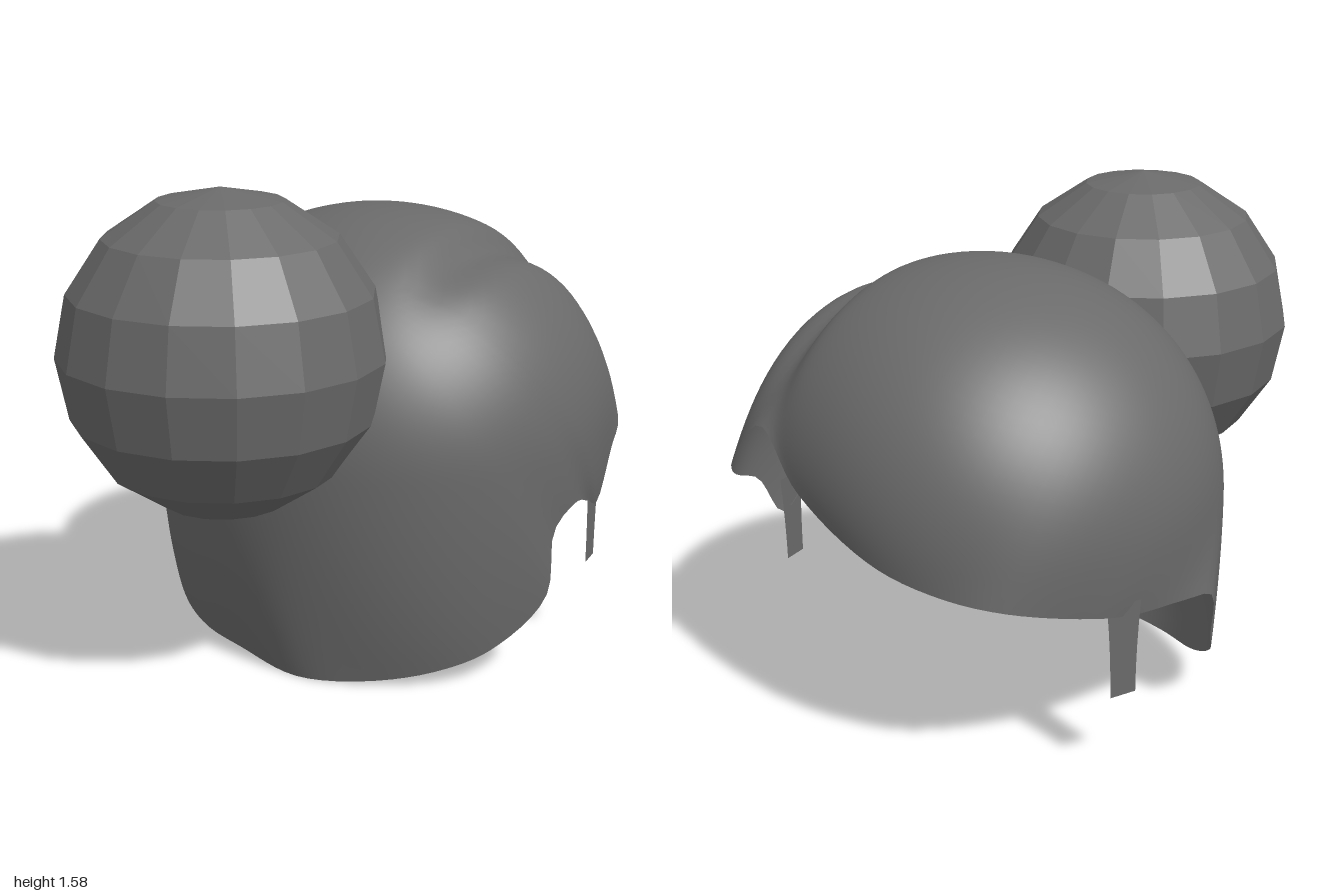
import * as THREE from 'three';

const gray = new THREE.MeshStandardMaterial({ color: 0x6a6a6a, side: THREE.DoubleSide });
gray.name = 'gray';
const V = (x, y, z) => new THREE.Vector3(x, y, z);

const CENTER = V(0, 0.7, -0.27);
const POLE = V(0, 0.8, 0.6).normalize();

// Free edge of the shell, counterclockwise from the front
const RIM = [
  [0, 0.01, 0.35], [0.28, 0, 0.34], [0.48, 0.015, 0.21], [0.63, 0.055, 0.05], [0.71, 0.11, -0.1],
  [0.76, 0.25, -0.29], [0.76, 0.47, -0.32], [0.75, 0.535, -0.43], [0.7, 0.5, -0.55],
  [0.66, 0.46, -0.65], [0.63, 0.62, -0.75], [0.56, 0.69, -0.87], [0.42, 0.81, -0.95], [0.25, 0.97, -0.94],
  [0.02, 0.83, -0.96], [-0.3, 0.7, -0.92], [-0.5, 0.65, -0.84], [-0.66, 0.62, -0.72],
  [-0.75, 0.55, -0.45], [-0.76, 0.52, -0.3], [-0.755, 0.5, -0.1], [-0.74, 0.47, 0.03],
  [-0.7, 0.31, 0.07], [-0.59, 0.165, 0.18], [-0.4, 0.055, 0.28], [-0.2, 0.02, 0.34],
].map((p) => V(...p));

// Distance from the centre to a lopsided ellipsoid
function bodyRadius(d) {
  const ax = 0.775, ay = d.y > 0 ? 0.72 : 1.4, az = d.z > 0 ? 0.72 : 0.735;
  const n = 2.1;
  return (Math.abs(d.x / ax) ** n + Math.abs(d.y / ay) ** n + Math.abs(d.z / az) ** n) ** (-1 / n);
}

// Valley between the main dome and the side lobe
function groove(p) {
  const off = (p.x - (0.47 + 0.23 * p.z)) / 0.075;
  const fade = 1 - THREE.MathUtils.smoothstep(p.z, -0.3, 0.12);
  const high = THREE.MathUtils.smoothstep(p.y, 0.75, 1);
  return 1 - 0.06 * Math.exp(-off * off) * fade * high;
}

// Open dome: rows run from the pole to the rim
function shellGeometry(rows = 36, cols = 120) {
  const edge = new THREE.CatmullRomCurve3(RIM, true).getSpacedPoints(cols).slice(0, cols);
  const pos = [], index = [];
  for (let i = 0; i <= rows; i++) {
    const t = i / rows;
    for (const e of edge) {
      const rel = e.clone().sub(CENTER);
      const rimDir = rel.clone().normalize();
      const axis = POLE.clone().cross(rimDir).normalize();
      const d = POLE.clone().applyAxisAngle(axis, t * POLE.angleTo(rimDir));
      const fit = rel.length() / bodyRadius(rimDir);
      const p = d.clone().multiplyScalar(bodyRadius(d)).add(CENTER);
      const k = THREE.MathUtils.lerp(groove(p), fit, t ** 8);
      pos.push(...p.sub(CENTER).multiplyScalar(k).add(CENTER).toArray());
    }
  }
  for (let i = 0; i < rows; i++) {
    for (let j = 0; j < cols; j++) {
      const a = i * cols + j, b = i * cols + (j + 1) % cols;
      index.push(a, a + cols, b + cols);
      if (i > 0) index.push(a, b + cols, b);
    }
  }
  const g = new THREE.BufferGeometry();
  g.setAttribute('position', new THREE.Float32BufferAttribute(pos, 3));
  g.setIndex(index);
  g.computeVertexNormals();
  return g;
}

// Thin strap hanging from the rim, wider at the top
function strapGeometry() {
  const g = new THREE.PlaneGeometry(0.1, 0.3, 1, 4);
  const p = g.attributes.position;
  for (let i = 0; i < p.count; i++) {
    const up = (p.getY(i) + 0.15) / 0.3;
    p.setX(i, p.getX(i) * (0.88 + 0.3 * up * up));
  }
  g.computeVertexNormals();
  return g;
}

export function createModel() {
  const group = new THREE.Group();
  const add = (name, geometry, material) => {
    const mesh = new THREE.Mesh(geometry, material);
    mesh.name = name;
    group.add(mesh);
    return mesh;
  };

  add('shell', shellGeometry(), gray);

  // Faceted ball pushed through the front
  const facets = new THREE.SphereGeometry(0.505, 16, 8).toNonIndexed();
  facets.computeVertexNormals();
  facets.rotateY(Math.PI / 16);
  add('ball', facets, gray).position.set(0.125, 1.07, 0.505);

  const left = add('leftStrap', strapGeometry(), gray);
  left.position.set(0.68, 0.43, -0.6);
  left.rotation.y = Math.PI / 2 + 0.4;
  const right = add('rightStrap', strapGeometry(), gray);
  right.position.set(-0.76, 0.42, -0.35);
  right.rotation.y = -Math.PI / 2 - 0.15;

  return group;
}
